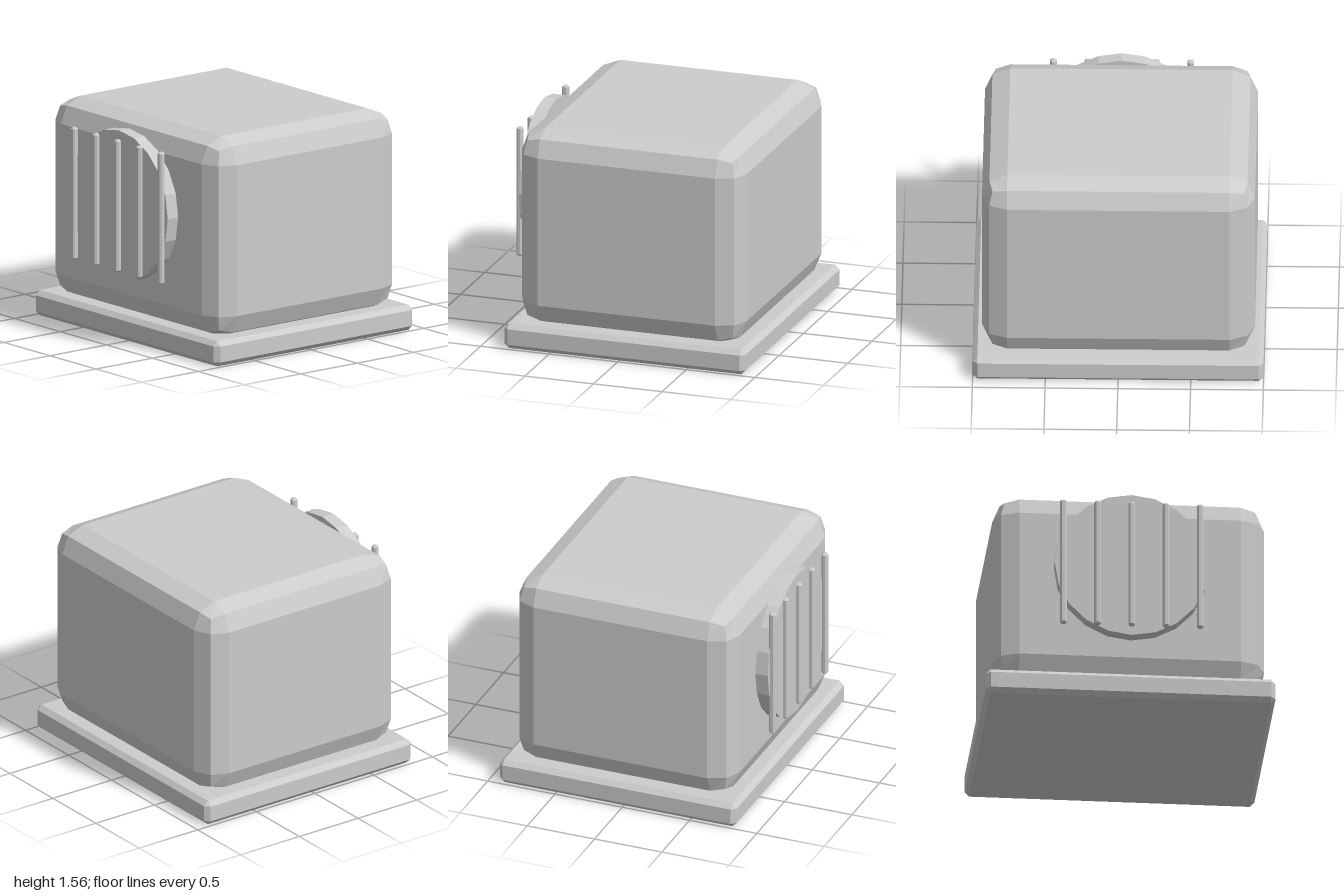
import * as THREE from 'three';
import { RoundedBoxGeometry } from 'three/addons/geometries/RoundedBoxGeometry.js';
import { ConvexGeometry } from 'three/addons/geometries/ConvexGeometry.js';

// Box with every edge cut by a single 45 degree chamfer c
function chamferBox(w, h, d, c) {
  const half = [w / 2, h / 2, d / 2];
  const points = [];
  for (const sx of [-1, 1]) for (const sy of [-1, 1]) for (const sz of [-1, 1]) {
    for (let axis = 0; axis < 3; axis++) {
      const [x, y, z] = half.map((v, i) => (i === axis ? v : v - c));
      points.push(new THREE.Vector3(sx * x, sy * y, sz * z));
    }
  }
  return new ConvexGeometry(points);
}

// Hard facets: one normal per triangle
function faceted(geometry) {
  const g = geometry.index ? geometry.toNonIndexed() : geometry;
  g.computeVertexNormals();
  return g;
}

export function createModel() {
  const model = new THREE.Group();
  model.name = 'ventilationUnit';

  const grey = new THREE.MeshStandardMaterial({ color: 0xcccccc });
  grey.name = 'lightGrey';

  const add = (name, geometry, x, y, z) => {
    const mesh = new THREE.Mesh(geometry, grey);
    mesh.name = name;
    mesh.position.set(x, y, z);
    model.add(mesh);
    return mesh;
  };

  // Base slab
  add('base', chamferBox(1.76, 0.178, 2, 0.033), 0.042, 0.089, 0);

  // Housing with two-step bevels, sunk slightly into the base
  add('housing', faceted(new RoundedBoxGeometry(1.64, 1.415, 1.876, 1, 0.174)), 0.04, 0.8525, 0);

  // Round fan cover on the right side
  const disc = new THREE.CylinderGeometry(0.53, 0.53, 0.092, 20);
  disc.rotateZ(Math.PI / 2);
  add('fanCover', faceted(disc), -0.842, 0.97, 0);

  // Upright grille bars across the fan cover
  for (let i = -2; i <= 2; i++) {
    add('grilleBar' + (i + 3), chamferBox(0.045, 0.935, 0.045, 0.012), -0.9, 0.97, i * 0.236);
  }

  return model;
}
